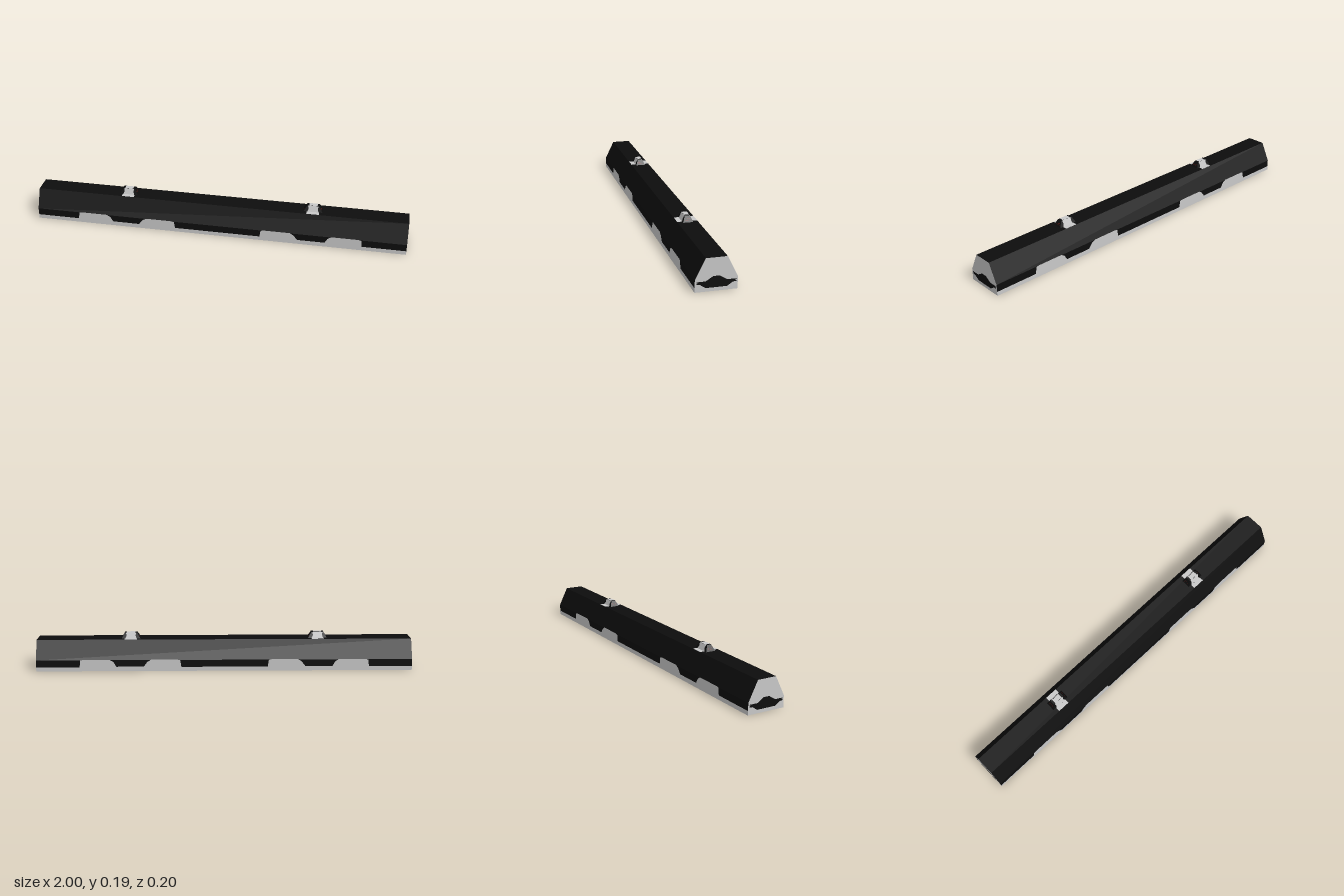
import * as THREE from 'three';

const LIFT = 0.0006; // painted faces sit this far off the surface

const material = (name, color) => {
  const m = new THREE.MeshStandardMaterial({ color });
  m.name = name;
  return m;
};

const shapeOf = (pts) => new THREE.Shape(pts.map(([x, y]) => new THREE.Vector2(x, y)));

// Mirrors a half outline (listed from one end to the other) about x = 0
const mirrored = (half) => [...half, ...half.map(([x, y]) => [-x, y]).reverse()];

// Flat painted face towards +z; depth(v) tilts it to follow a slope
function plate(name, mat, pts, depth) {
  const geo = new THREE.ShapeGeometry(shapeOf(pts));
  const pos = geo.attributes.position;
  for (let i = 0; i < pos.count; i++) pos.setZ(i, depth(pos.getY(i)));
  geo.computeVertexNormals();
  const mesh = new THREE.Mesh(geo, mat);
  mesh.name = name;
  return mesh;
}

export function createModel() {
  const black = material('black', 0x0d0d0d);
  const grey = material('light grey', 0xc8c8c8);
  const red = material('dark red', 0x7a1a12);
  const model = new THREE.Group();
  model.name = 'bar';

  // Six-sided beam with pale end caps
  const profile = mirrored([[0.1 - LIFT, LIFT], [0.1 - LIFT, 0.06], [0.05, 0.16]]);
  const length = 2 - 2 * LIFT;
  const beamGeo = new THREE.ExtrudeGeometry(shapeOf(profile), { depth: length, bevelEnabled: false });
  beamGeo.translate(0, 0, -length / 2).rotateY(Math.PI / 2);
  const beam = new THREE.Mesh(beamGeo, [grey, black]);
  beam.name = 'beam';
  model.add(beam);

  // Lower trim along both long sides, with raised panels
  const trim = mirrored([
    [1, 0], [1, 0.022], [0.77, 0.022], [0.765, 0.058], [0.75, 0.062], [0.61, 0.062],
    [0.59, 0.05], [0.575, 0.024], [0.43, 0.024], [0.41, 0.05], [0.39, 0.062],
    [0.25, 0.062], [0.235, 0.058], [0.23, 0.022],
  ]);
  // Dark socket mark on both ends
  const socket = mirrored([
    [0.05, 0.018], [0.076, 0.036], [0.092, 0.037], [0.092, 0.042], [0.084, 0.044],
    [0.092, 0.046], [0.092, 0.05], [0.05, 0.05], [0.015, 0.072],
  ]);
  for (const side of [0, 1]) {
    const strip = plate('sideTrim', grey, trim, () => 0.1);
    strip.rotation.y = side * Math.PI;
    const mark = plate('endSocket', black, socket, () => 1);
    mark.rotation.y = Math.PI / 2 + side * Math.PI;
    model.add(strip, mark);
  }

  // Pale patches underneath: one in the middle, a triangle at each end
  const underside = new THREE.Group();
  underside.name = 'undersidePatches';
  underside.rotation.x = Math.PI / 2;
  underside.add(plate('centrePatch', grey,
    mirrored([[0.01, 0.055], [0.06, 0.042], [0.09, 0], [0.06, -0.042], [0.01, -0.055]]), () => 0));
  for (const s of [-1, 1]) {
    underside.add(plate('endPatch', grey, [[s, -0.1], [s, 0.1], [s * 0.92, 0.01], [s * 0.92, -0.01]], () => 0));
  }
  model.add(underside);

  // Two tapered lugs on top
  for (const x of [-0.5, 0.5]) {
    const lug = new THREE.Group();
    lug.name = 'lug';
    lug.position.set(x, 0.16, 0);

    const geo = new THREE.BoxGeometry(0.1, 0.03, 0.05).translate(0, 0.015, 0);
    const pos = geo.attributes.position;
    for (let i = 0; i < pos.count; i++) {
      if (pos.getY(i) > 0.01) {
        pos.setX(i, pos.getX(i) * 0.65);
        pos.setZ(i, pos.getZ(i) * 0.5);
      }
    }
    geo.computeVertexNormals();
    const block = new THREE.Mesh(geo, black);
    block.name = 'lugBlock';
    lug.add(block);

    // Pale top and pale pads on the beam in front and behind
    const flat = new THREE.Group();
    flat.name = 'lugTopFaces';
    flat.rotation.x = -Math.PI / 2;
    flat.add(plate('lugTop', grey, mirrored([[0.022, -0.0125], [0.022, 0.0125]]), () => 0.03 + LIFT));
    for (const s of [-1, 1]) {
      const pad = [[0.033, s * 0.026], [0.033, s * 0.05]];
      flat.add(plate('lugPad', grey, mirrored(pad), () => LIFT));
    }
    lug.add(flat);

    for (const side of [0, 1]) {
      // Pale sloping front and back
      const face = plate('lugFace', grey, mirrored([[0.03, 0], [0.024, 0.015], [0.028, 0.03]]),
        (y) => 0.025 - y * 0.0125 / 0.03 + LIFT);
      face.rotation.y = side * Math.PI;
      lug.add(face);

      // Fine red dashes on the dark ends
      for (const y of [0.009, 0.015]) {
        for (const z of [-0.009, 0, 0.009]) {
          const dash = plate('lugDash', red,
            [[z - 0.0035, y], [z + 0.0035, y], [z + 0.0035, y + 0.0014], [z - 0.0035, y + 0.0014]],
            (v) => 0.05 - v * 0.0175 / 0.03 + LIFT);
          dash.rotation.y = Math.PI / 2 + side * Math.PI;
          lug.add(dash);
        }
      }
    }
    model.add(lug);
  }
  return model;
}
